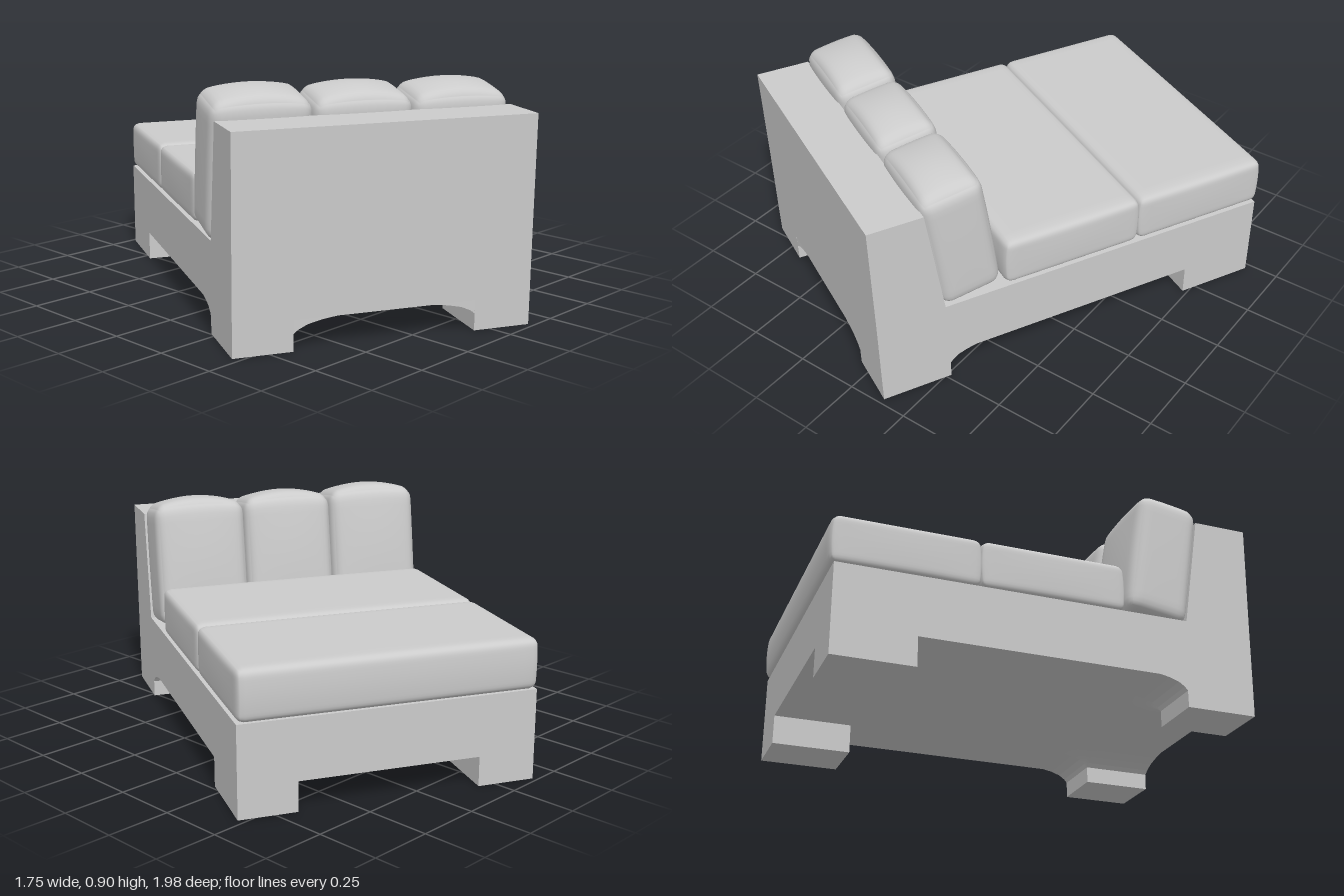
import * as THREE from 'three';
import { mergeVertices } from 'three/addons/utils/BufferGeometryUtils.js';

const HALF = 0.565;          // half width of the frame
const LEG = 0.345;           // inner side of the legs
const UNDER = 0.115;         // height of the underside
const BACK_LEG = 0.535;      // inner end of the rear legs
const FILLET = [[0, 0.065], [0.012, 0.079], [0.035, 0.095], [0.07, 0.107], [0.11, UNDER]];

const mat = new THREE.MeshStandardMaterial({ color: 0xcccccc });
const thin = new THREE.MeshStandardMaterial({ color: 0xcccccc, side: THREE.DoubleSide });

function add(parent, name, geometry, material = mat) {
  const mesh = new THREE.Mesh(geometry, material);
  mesh.name = name;
  parent.add(mesh);
  return mesh;
}

const extrude = (points, depth) => new THREE.ExtrudeGeometry(
  new THREE.Shape(points.map(p => new THREE.Vector2(p[0], p[1]))),
  { depth, bevelEnabled: false });

// Side profile given as [z, y], extruded across x and centred on cx
function sideExtrude(points, width, cx) {
  return extrude(points, width).translate(0, 0, -width / 2)
    .rotateY(-Math.PI / 2).translate(cx, 0, 0);
}

// Rounded, softly bulging cushion centred on the origin
function pillow(w, h, d, r, bulge) {
  const n = 20;
  const box = new THREE.BoxGeometry(2, 2, 2, n, n, n);
  box.deleteAttribute('normal');
  box.deleteAttribute('uv');
  const geo = mergeVertices(box);
  const pos = geo.attributes.position;
  const half = new THREE.Vector3(w / 2, h / 2, d / 2);
  const core = half.clone().subScalar(r);
  const t = new THREE.Vector3(), p = new THREE.Vector3(), c = new THREE.Vector3();
  for (let i = 0; i < pos.count; i++) {
    t.fromBufferAttribute(pos, i);
    // crowd the grid towards the edges
    t.set(...t.toArray().map(v => Math.sin(v * Math.PI / 2)));
    p.copy(t).multiply(half);
    c.copy(p).clamp(core.clone().negate(), core);
    p.sub(c).normalize().multiplyScalar(r).add(c);
    const fx = 1 - t.x * t.x, fy = 1 - t.y * t.y, fz = 1 - t.z * t.z;
    if (t.y > 0) p.y += bulge.top * t.y * fx * (0.4 + 0.6 * fz);
    p.z += bulge.ends * t.z * fy * (bulge.flatX ? 1 : fx);
    p.x += bulge.sides * t.x * fy * fz;
    pos.setXYZ(i, p.x, p.y, p.z);
  }
  geo.computeVertexNormals();
  return geo;
}

export function createModel() {
  const model = new THREE.Group();
  model.name = 'loungeChair';
  const chair = new THREE.Group();
  chair.name = 'chair';
  chair.rotation.y = -0.467;
  model.add(chair);

  // Frame: low base with a leaning backrest at +z
  add(chair, 'frame', sideExtrude([
    [-0.815, UNDER], [0.813, UNDER], [0.818, 0.35], [0.83, 0.79],
    [0.617, 0.79], [0.548, 0.35], [-0.815, 0.35]
  ], HALF * 2, 0));

  // Legs: square at the front, flared into the underside at the rear
  const legWidth = HALF - LEG;
  for (const s of [-1, 1]) {
    const cx = s * (LEG + legWidth / 2);
    add(chair, 'frontLeg', sideExtrude(
      [[-0.815, 0], [-0.505, 0], [-0.505, UNDER], [-0.815, UNDER]], legWidth, cx));
    add(chair, 'rearLeg', sideExtrude([
      [0.81, 0], [0.813, UNDER],
      ...FILLET.map(([r, y]) => [BACK_LEG - r, y]).reverse(),
      [BACK_LEG, 0]
    ], legWidth, cx));
    // side flare of the rear leg, forming the rear arch
    add(chair, 'rearArch', extrude([
      ...FILLET.map(([r, y]) => [s * (LEG - r * 1.5), y]), [s * LEG, UNDER]
    ], 0.812 - BACK_LEG).translate(0, 0, BACK_LEG));
    // rounded corner joining the two flares
    const corner = new THREE.LatheGeometry(
      FILLET.map(([r, y]) => new THREE.Vector2(r, y)), 8,
      s > 0 ? Math.PI : Math.PI / 2, Math.PI / 2);
    corner.scale(1.5, 1, 1).translate(s * LEG, 0, BACK_LEG);
    add(chair, 'rearLegCorner', corner, thin);
  }

  // Two seat cushions
  for (const [z0, z1] of [[-0.824, -0.272], [-0.268, 0.296]]) {
    const seat = add(chair, 'seatCushion', pillow(1.126, 0.194, z1 - z0, 0.028,
      { top: 0.003, ends: 0.008, sides: 0.004, flatX: true }));
    seat.position.set(0, 0.448, (z0 + z1) / 2);
  }

  // Three leaning back cushions
  [[-0.387, 0.538], [-0.006, 0.53], [0.374, 0.525]].forEach(([x, h]) => {
    const back = add(chair, 'backCushion', pillow(0.376, h - 0.03, 0.242, 0.045,
      { top: 0.035, ends: 0.014, sides: 0.003 }));
    back.position.set(x, 0.352 + (h - 0.03) / 2, 0.468);
    back.rotation.x = 0.155;
  });

  return model;
}
